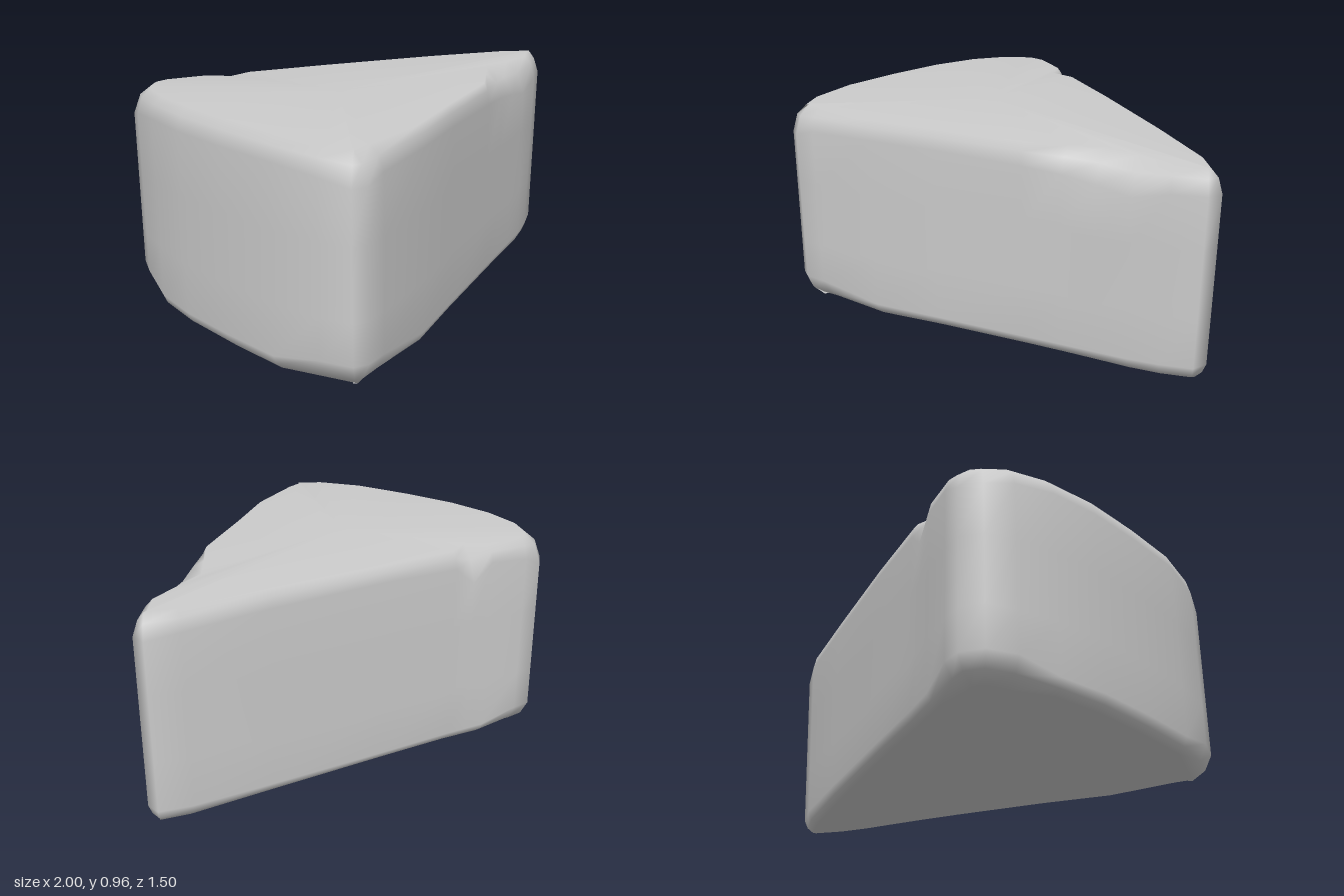
import * as THREE from 'three';

// Plan outline, nose first, running along the front, rear end and back side:
// [x, z, top bevel width, height where the top bevel starts]
const outline = [
  [1.0, -0.08, 0.05, 0.83], [0.99, -0.01, 0.06, 0.83], [0.87, 0.07, 0.05, 0.83],
  [0.72, 0.135, 0.09, 0.79], [0.58, 0.195, 0.13, 0.82], [0.44, 0.255, 0.08, 0.84],
  [0.28, 0.325, 0.025, 0.85], [-0.1, 0.49, 0.03, 0.86], [-0.39, 0.62, 0.03, 0.86],
  [-0.69, 0.72, 0.06, 0.85], [-0.79, 0.745, 0.08, 0.82], [-0.85, 0.725, 0.07, 0.82],
  [-0.91, 0.6, 0.05, 0.85], [-0.965, 0.38, 0.05, 0.87], [-0.99, 0.1, 0.05, 0.87],
  [-1.0, -0.17, 0.05, 0.87], [-0.98, -0.4, 0.05, 0.87], [-0.94, -0.58, 0.06, 0.85],
  [-0.89, -0.7, 0.09, 0.82], [-0.8, -0.75, 0.08, 0.82], [-0.71, -0.73, 0.05, 0.86],
  [-0.54, -0.66, 0.03, 0.87], [-0.45, -0.625, 0.09, 0.79], [-0.36, -0.59, 0.03, 0.87],
  [0, -0.465, 0.025, 0.88], [0.5, -0.285, 0.025, 0.87], [0.87, -0.155, 0.035, 0.85],
];
const n = outline.length;

// Inward direction of the outline at point i
function inward(i) {
  const a = outline[(i + n - 1) % n], b = outline[(i + 1) % n];
  const dx = b[0] - a[0], dz = b[1] - a[1], l = Math.hypot(dx, dz);
  return [dz / l * -1, dx / l];
}

// Gently sloping top and slightly hollow underside
const topY = (x, z) => 0.948 - 0.016 * x - 0.035 * Math.max(0, Math.abs(z) - 0.3);
const bottomY = (x, z) => 0.024 - 0.014 * Math.min(1, x * x * 1.5) - 0.008 * z;

function createBlock() {
  const positions = [], index = [];
  const rings = 8;
  for (let r = 0; r < rings; r++) {
    outline.forEach(([x, z, bevel, wall], i) => {
      const [ix, iz] = inward(i);
      const corner = x < -0.65 && Math.abs(z) > 0.55;
      const low = corner ? 0.09 : 0.045;
      const inset = [low, low * 0.35, 0, 0, 0, 0, bevel * 0.35, bevel][r];
      let px = x + ix * inset, pz = z + iz * inset;
      const top = topY(px, pz), base = bottomY(px, pz);
      const foot = corner ? 0.12 : 0.075;
      const y = [base, base + (foot - base) * 0.4, foot, 0.3, 0.6, wall,
        wall + (top - wall) * 0.65, top][r];
      // The nose leans back towards its foot
      if (x > 0.8) px -= 0.03 * (1 - Math.min(1, y / 0.83));
      positions.push(px, y, pz);
    });
  }
  // Walls and bevels
  for (let r = 0; r < rings - 1; r++) {
    for (let i = 0; i < n; i++) {
      const j = (i + 1) % n;
      const a = r * n + i, b = r * n + j, c = b + n, d = a + n;
      index.push(b, a, d, b, d, c);
    }
  }
  // Top and underside
  const under = positions.length / 3;
  positions.push(-0.3, 0.024, 0, -0.3, 0.953, 0);
  const last = (rings - 1) * n;
  for (let i = 0; i < n; i++) {
    const j = (i + 1) % n;
    index.push(under, i, j, under + 1, last + j, last + i);
  }
  const geometry = new THREE.BufferGeometry();
  geometry.setAttribute('position', new THREE.Float32BufferAttribute(positions, 3));
  geometry.setIndex(index);
  geometry.computeVertexNormals();
  // Stand on the ground
  geometry.computeBoundingBox();
  geometry.translate(0, -geometry.boundingBox.min.y, 0);
  return geometry;
}

export function createModel() {
  const model = new THREE.Group();
  model.name = 'wedgeStone';
  const block = new THREE.Mesh(createBlock(), new THREE.MeshStandardMaterial({ color: 0xcccccc }));
  block.name = 'stoneBlock';
  model.add(block);
  return model;
}
